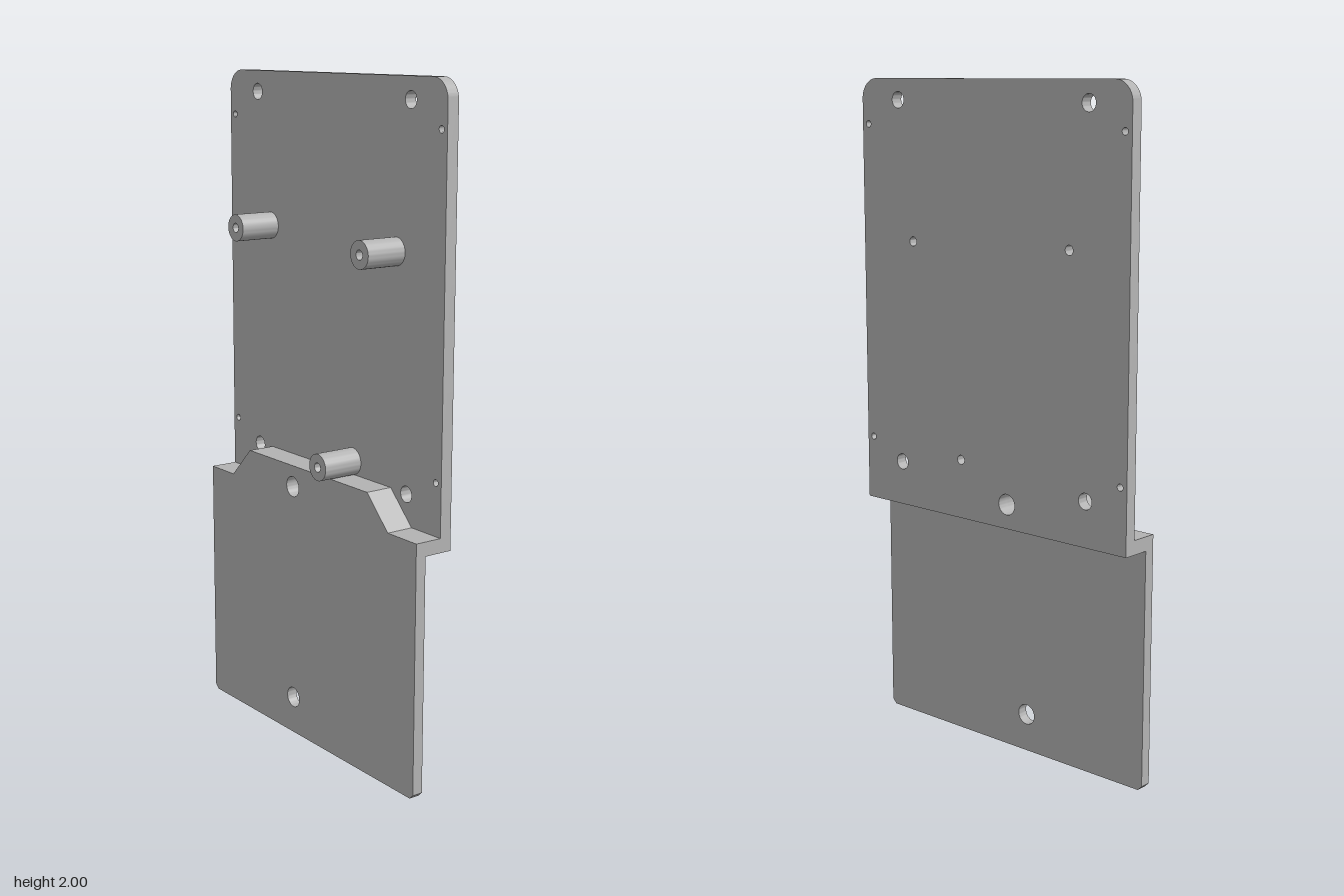
import * as THREE from 'three';
import { toCreasedNormals } from 'three/addons/utils/BufferGeometryUtils.js';

const W = 0.512;                                   // half width
const Z = { back: -0.082, panel: -0.045, step: 0.007, front: 0.04, post: 0.082 };
const STEP_Y = 0.715;                              // underside of the step

// Outline from corner points, with circular holes [x, y, radius]
function plateShape(points, holes) {
  const shape = new THREE.Shape(points.map(([x, y]) => new THREE.Vector2(x, y)));
  return punch(shape, holes);
}

function punch(shape, holes) {
  for (const [x, y, r] of holes) {
    shape.holes.push(new THREE.Path().absarc(x, y, r, 0, Math.PI * 2, true));
  }
  return shape;
}

// Extrude a shape between two depths, smooth on curves and sharp on edges
function slab(name, shape, z0, z1, material) {
  const geo = new THREE.ExtrudeGeometry(shape, { depth: z1 - z0, bevelEnabled: false, curveSegments: 20 });
  geo.translate(0, 0, z0);
  const mesh = new THREE.Mesh(toCreasedNormals(geo, 0.6), material);
  mesh.name = name;
  return mesh;
}

export function createModel() {
  const group = new THREE.Group();
  group.name = 'mountingBracket';
  const grey = new THREE.MeshStandardMaterial({ color: 0xb2b2b2 });
  grey.name = 'plain grey';

  const posts = [[-0.30, 1.543], [0.304, 1.527], [0.113, 0.893]];
  const stepHole = [-0.07, 0.788, 0.031];

  // Upper back panel with rounded top corners
  const r = 0.06;
  const panel = new THREE.Shape();
  panel.moveTo(-W, STEP_Y);
  panel.lineTo(W, STEP_Y);
  panel.lineTo(W, 2 - r);
  panel.absarc(W - r, 2 - r, r, 0, Math.PI / 2, false);
  panel.lineTo(-W + r, 2);
  panel.absarc(-W + r, 2 - r, r, Math.PI / 2, Math.PI, false);
  panel.closePath();
  const panelHoles = [stepHole];
  for (const x of [-0.365, 0.361]) for (const y of [1.938, 0.849]) panelHoles.push([x, y, 0.024]);
  for (const x of [-0.488, 0.488]) for (const y of [1.866, 0.91]) panelHoles.push([x, y, 0.01]);
  for (const [x, y] of posts) panelHoles.push([x, y, 0.014]);
  group.add(slab('backPanel', punch(panel, panelHoles), Z.back, Z.panel, grey));

  // Raised trapezoid edge shared by the step and the lower plate
  const topEdge = [[W, 0.757], [0.387, 0.757], [0.292, 0.853], [-0.298, 0.853], [-0.393, 0.757], [-W, 0.757]];

  // Step joining the two plates
  group.add(slab('step', plateShape([[-W, STEP_Y], [W, STEP_Y], ...topEdge], [stepHole]), Z.panel, Z.step, grey));

  // Lower front plate with small clipped bottom corners
  const c = 0.014;
  const lower = [[-W, c], [-W + c, 0], [W - c, 0], [W, c], ...topEdge];
  group.add(slab('frontPlate', plateShape(lower, [stepHole, [-0.07, 0.115, 0.031]]), Z.step, Z.front, grey));

  // Hollow standoff posts
  for (const [x, y] of posts) {
    const ring = new THREE.Shape().absarc(x, y, 0.04, 0, Math.PI * 2, false);
    group.add(slab('standoff', punch(ring, [[x, y, 0.014]]), Z.panel, Z.post, grey));
  }
  return group;
}
